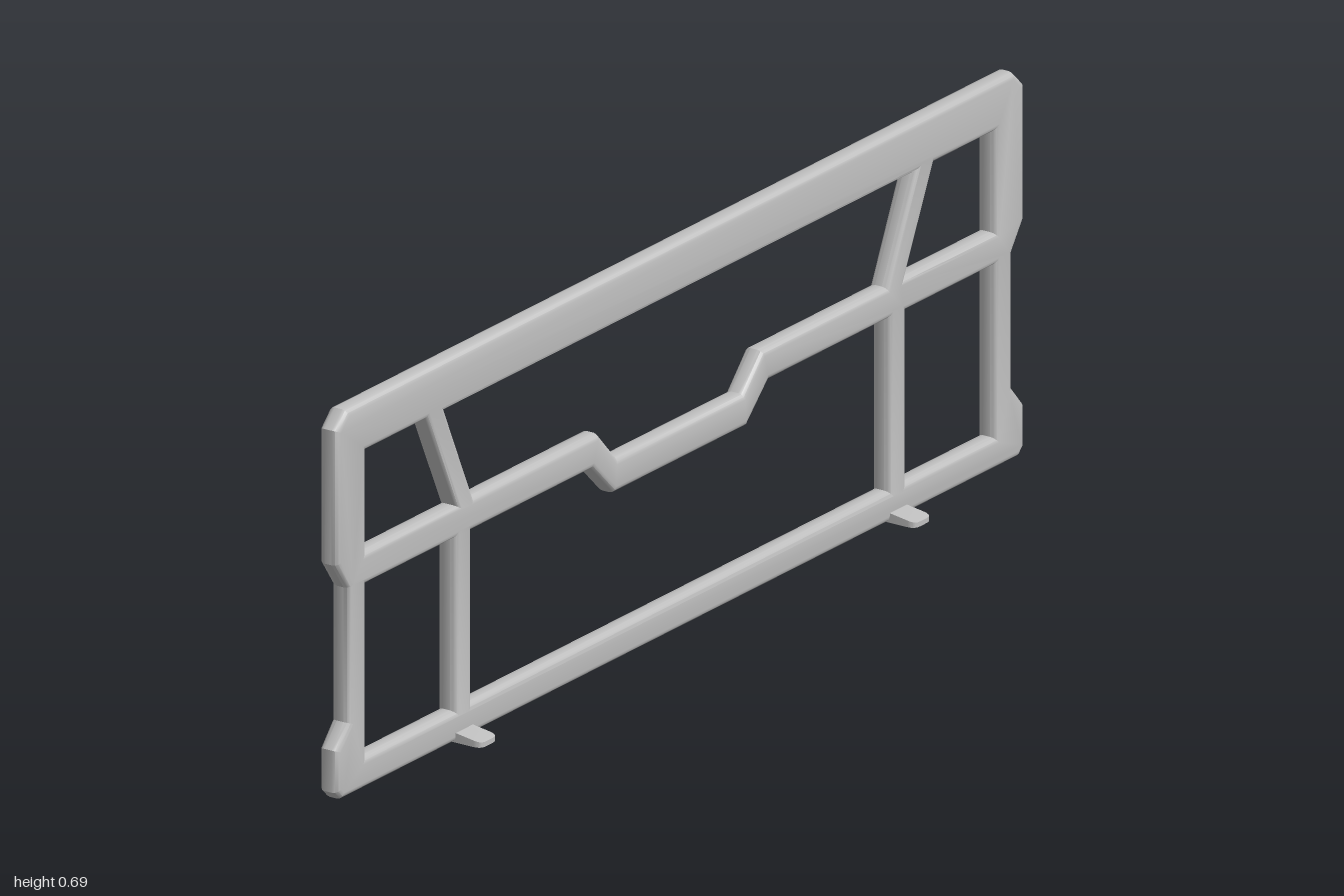
import * as THREE from 'three';
import { toCreasedNormals } from 'three/addons/utils/BufferGeometryUtils.js';

const FRONT_X = -0.007; // outer face of the panel on the +x side
const THICK = 0.038;

const toVectors = (pts) => pts.map(([z, y]) => new THREE.Vector2(z, y));
const flip = (pts) => pts.map(([z, y]) => [-z, y]).reverse();
// Completes a half outline (z > 0) with its mirror image.
const mirrored = (half) => toVectors([...half, ...flip(half)]);

// Flat frame with five openings and soft edges, extruded across x.
function frameGeometry() {
  const shape = new THREE.Shape(mirrored([
    [0.985, 0], [1, 0.015], [1, 0.09], [0.965, 0.13],
    [0.965, 0.37], [1, 0.42], [1, 0.66], [0.97, 0.689],
  ]));

  const upperCorner = [[0.914, 0.6], [0.738, 0.6], [0.652, 0.42], [0.914, 0.42]];
  const lowerCorner = [[0.914, 0.362], [0.656, 0.362], [0.656, 0.055], [0.914, 0.055]];
  const upperMiddle = [[0.684, 0.6], [0.6, 0.42], [0.238, 0.42], [0.182, 0.36]];
  const lowerMiddle = [[0.606, 0.055], [0.606, 0.362], [0.257, 0.362], [0.193, 0.3]];
  const openings = [
    toVectors(upperCorner), toVectors(flip(upperCorner)),
    toVectors(lowerCorner), toVectors(flip(lowerCorner)),
    mirrored(upperMiddle), mirrored(lowerMiddle),
  ];
  for (const o of openings) shape.holes.push(new THREE.Path(o));

  const bevel = 0.012;
  const geo = new THREE.ExtrudeGeometry(shape, {
    depth: THICK - 2 * bevel,
    bevelThickness: bevel, bevelSize: 0.011, bevelOffset: -0.011, bevelSegments: 3,
  });
  geo.rotateY(-Math.PI / 2);
  geo.translate(FRONT_X - bevel, 0, 0);
  return toCreasedNormals(geo, 0.6);
}

// Small tab with a rounded tip; its top slopes down away from the frame.
function footGeometry() {
  const w = 0.025, x0 = -0.02, x1 = 0.044;
  const plan = new THREE.Shape();
  plan.moveTo(x0, -w);
  plan.lineTo(x1 - 0.015, -w);
  plan.quadraticCurveTo(x1, -w, x1, -w + 0.015);
  plan.lineTo(x1, w - 0.015);
  plan.quadraticCurveTo(x1, w, x1 - 0.015, w);
  plan.lineTo(x0, w);
  const geo = new THREE.ExtrudeGeometry(plan, { depth: 0.02, bevelEnabled: false, curveSegments: 5 });
  geo.rotateX(-Math.PI / 2);
  const p = geo.attributes.position;
  for (let i = 0; i < p.count; i++) {
    if (p.getY(i) > 0.01) p.setY(i, 0.019 - 0.2 * Math.max(0, p.getX(i) - FRONT_X));
  }
  return toCreasedNormals(geo, 0.6);
}

export function createModel() {
  const grey = new THREE.MeshStandardMaterial({ color: 0xc0c0c0 });
  grey.name = 'light grey';

  const model = new THREE.Group();
  model.name = 'framePanel';

  const frame = new THREE.Mesh(frameGeometry(), grey);
  frame.name = 'frame';
  model.add(frame);

  // Pair of feet under the inner posts
  const footGeo = footGeometry();
  for (const side of [1, -1]) {
    const foot = new THREE.Mesh(footGeo, grey);
    foot.name = side > 0 ? 'frontFoot' : 'backFoot';
    foot.position.z = side * 0.631;
    model.add(foot);
  }
  return model;
}
